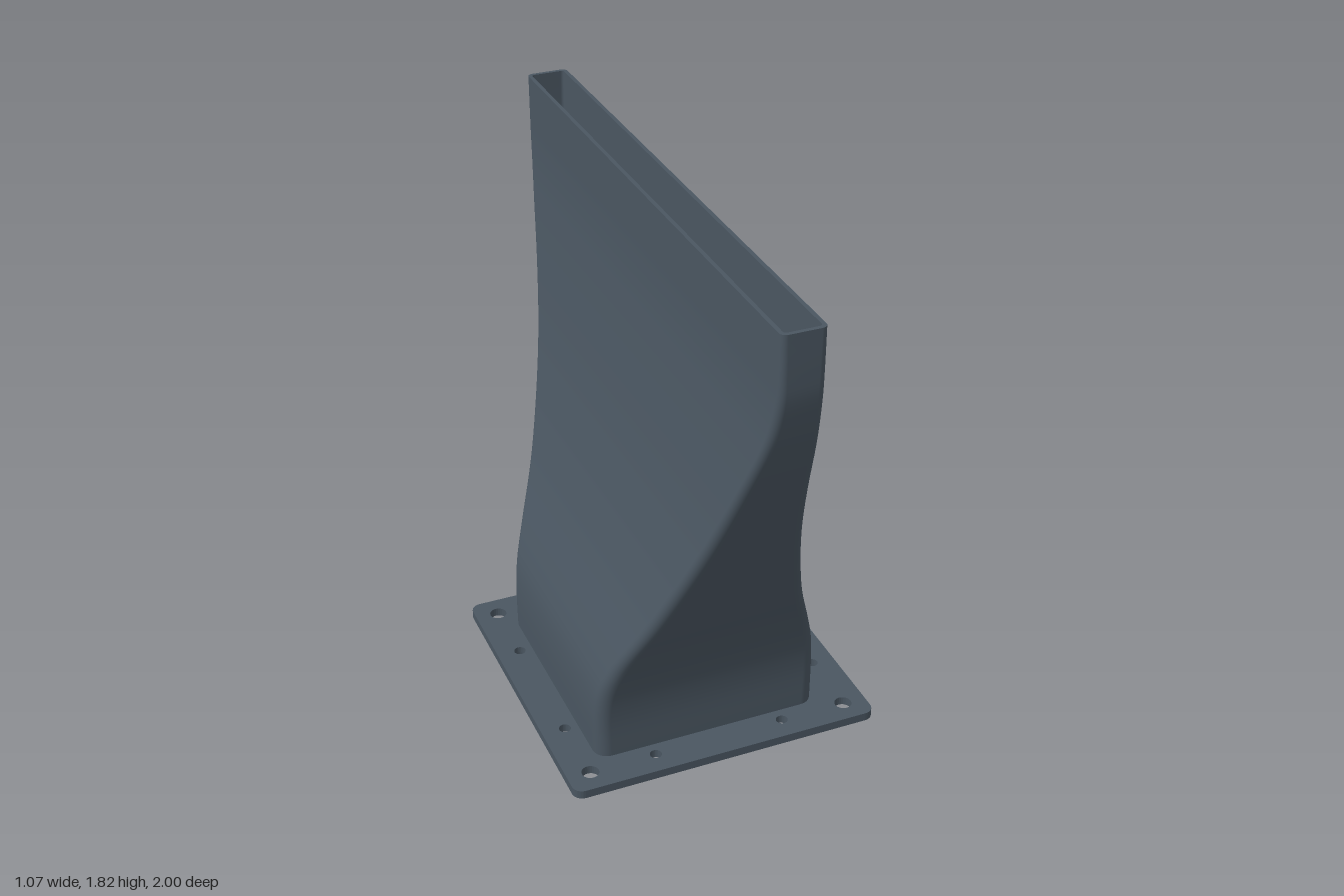
import * as THREE from 'three';

const BASE_Y = 0.03;    // flange thickness
const WALL = 0.013;     // duct wall thickness
const AXIS_X = -0.02;   // duct axis offset from the flange centre

// Half width, height and half depth of the duct, from base to mouth
const spine = new THREE.CatmullRomCurve3([
  [0.39, BASE_Y, 0.415], [0.39, 0.18, 0.415], [0.378, 0.29, 0.43], [0.345, 0.4, 0.466],
  [0.268, 0.6, 0.56], [0.207, 0.8, 0.654], [0.157, 1.0, 0.748], [0.12, 1.2, 0.842],
  [0.09, 1.4, 0.935], [0.078, 1.5, 0.972], [0.071, 1.61, 0.996], [0.07, 1.69, 1.0], [0.07, 1.82, 1.0],
].map((p) => new THREE.Vector3(...p))).getPoints(60);

// Points around a rounded rectangle centred on the origin
function roundedRect(hx, hz, r, steps = 6) {
  const pts = [];
  [[1, 1], [-1, 1], [-1, -1], [1, -1]].forEach(([sx, sz], k) => {
    for (let i = 0; i <= steps; i++) {
      const a = (k + i / steps) * Math.PI / 2;
      pts.push(new THREE.Vector2(sx * (hx - r) + r * Math.cos(a), sz * (hz - r) + r * Math.sin(a)));
    }
  });
  return pts;
}

// Duct section at a spine point, inset by the wall thickness when needed
function section(p, inset) {
  const r = 0.02 + 0.03 * (1 - p.y / 1.82) - inset * 0.8;
  return roundedRect(p.x - inset, p.z - inset, r)
    .map((q) => new THREE.Vector3(q.x + AXIS_X, p.y, q.y));
}

// Skin a list of closed rings
function loft(rings) {
  const n = rings[0].length;
  const index = [];
  for (let j = 0; j < rings.length - 1; j++) {
    for (let i = 0; i < n; i++) {
      const a = j * n + i, b = j * n + (i + 1) % n;
      index.push(a, a + n, b, b, a + n, b + n);
    }
  }
  const g = new THREE.BufferGeometry().setFromPoints(rings.flat());
  g.setIndex(index);
  g.computeVertexNormals();
  return g;
}

export function createModel() {
  const group = new THREE.Group();
  const slate = new THREE.MeshStandardMaterial({ color: 0x4a5661 });
  slate.name = 'slate grey';
  const add = (name, geometry) => {
    const mesh = new THREE.Mesh(geometry, slate);
    mesh.name = name;
    group.add(mesh);
    return mesh;
  };

  // Mounting flange with duct opening and screw holes
  const plate = new THREE.Shape(roundedRect(0.535, 0.542, 0.035));
  plate.holes.push(new THREE.Path(section(spine[0], WALL).map((p) => new THREE.Vector2(p.x, p.z))));
  const drill = (x, z, r) => plate.holes.push(new THREE.Path().absarc(x, z, r, 0, Math.PI * 2, true));
  for (const sx of [-1, 1]) {
    for (const sz of [-1, 1]) {
      drill(sx * 0.455, sz * 0.463, 0.029);
      drill(sx * 0.455, sz * 0.227, 0.02);
      drill(sx * 0.227, sz * 0.463, 0.02);
    }
  }
  const flange = new THREE.ExtrudeGeometry(plate, { depth: BASE_Y, bevelEnabled: false, curveSegments: 12 });
  add('flange', flange.rotateX(-Math.PI / 2));

  // Duct walls and mouth rim
  const outer = spine.map((p) => section(p, 0));
  const inner = spine.map((p) => section(p, WALL));
  add('ductOuterWall', loft(outer));
  add('ductInnerWall', loft([...inner].reverse()));
  add('mouthRim', loft([outer.at(-1), inner.at(-1)]));

  // Crossed guide vanes reaching the duct walls
  const vane = (axis) => {
    const edge = spine.filter((p) => p.y < 1.28)
      .map((p) => new THREE.Vector2(p[axis] - WALL * 0.6, p.y));
    edge[0].y = 0.005;
    const mirrored = edge.map((p) => new THREE.Vector2(-p.x, p.y)).reverse();
    const g = new THREE.ExtrudeGeometry(new THREE.Shape([...edge, ...mirrored]), { depth: 0.012, bevelEnabled: false });
    return g.translate(0, 0, -0.006);
  };
  add('crossVane', vane('x')).position.x = AXIS_X;
  add('lengthVane', vane('z').rotateY(Math.PI / 2)).position.x = AXIS_X;

  // Rounded flow-spreading core where the vanes cross
  const core = add('flowCore', new THREE.SphereGeometry(0.16, 32, 20));
  core.position.set(AXIS_X, 0.62, 0);

  return group;
}
